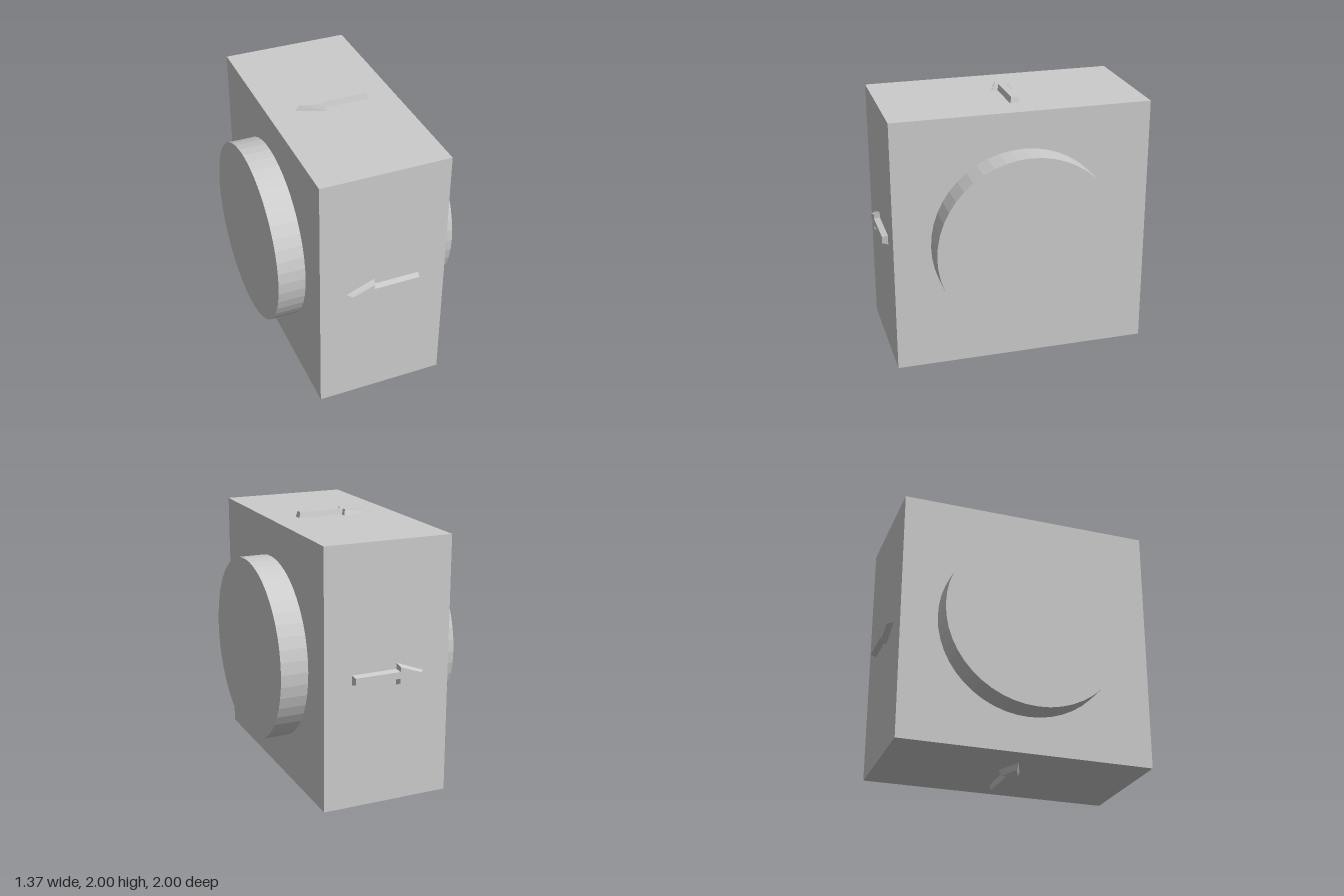
import * as THREE from 'three';

const material = new THREE.MeshStandardMaterial({ color: 0xcccccc, flatShading: true });
const HALF = 0.957;   // half height and depth of the housing
const RAISE = 0.043;  // height of the arrows above the housing

// Mirrors the upper half of an arrow (tip first) to a closed outline
function arrowOutline(tip, back, headHalf, shaftHalf, tail) {
  const upper = [[back, headHalf], [back, shaftHalf], [tail, shaftHalf]];
  const lower = upper.map(([x, y]) => [x, -y]);
  return [[tip, 0], ...lower, ...upper.reverse()].map(([x, y]) => new THREE.Vector2(x, y));
}

// Raised arrow whose walls lean inwards from the base to the top outline
function arrowGeometry() {
  const base = arrowOutline(-0.28, -0.07, 0.082, 0.036, 0.272);
  const top = arrowOutline(-0.247, -0.082, 0.06, 0.025, 0.261);
  const geometry = new THREE.ExtrudeGeometry(new THREE.Shape(base), { depth: RAISE, bevelEnabled: false });
  const pos = geometry.attributes.position;
  for (let i = 0; i < pos.count; i++) {
    if (pos.getZ(i) < RAISE / 2) continue;
    const corner = base.findIndex(p => Math.hypot(p.x - pos.getX(i), p.y - pos.getY(i)) < 1e-4);
    pos.setXY(i, top[corner].x, top[corner].y);
  }
  geometry.computeVertexNormals();
  return geometry.translate(0, 0, HALF);
}

export function createModel() {
  const model = new THREE.Group();
  const add = (name, geometry) => {
    const mesh = new THREE.Mesh(geometry, material);
    mesh.name = name;
    mesh.position.y = 1;
    model.add(mesh);
    return mesh;
  };

  // Square housing
  add('housing', new THREE.BoxGeometry(0.96, 2 * HALF, 2 * HALF));

  // Round connection stubs on both sides
  for (const [name, side] of [['leftStub', 1], ['rightStub', -1]]) {
    const stub = new THREE.CylinderGeometry(0.683, 0.683, 0.205, 48);
    add(name, stub.rotateZ(Math.PI / 2).translate(side * 0.5825, 0, 0));
  }

  // Direction arrows around the housing, all pointing to the right
  const arrow = arrowGeometry();
  ['frontArrow', 'topArrow', 'backArrow', 'bottomArrow'].forEach((name, i) => {
    add(name, arrow).rotation.x = -i * Math.PI / 2;
  });

  return model;
}
